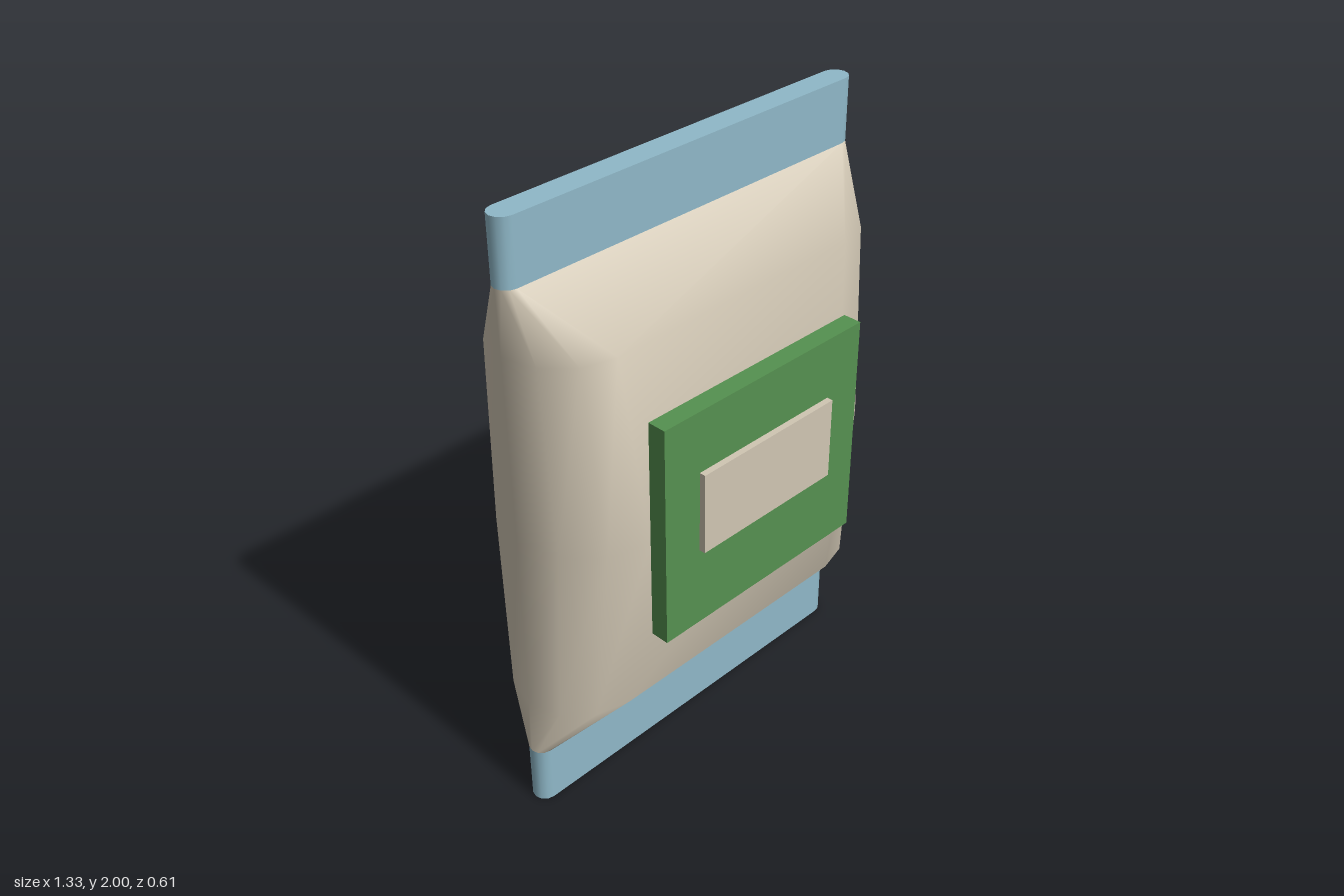
import * as THREE from 'three';

const MID_Z = -0.04; // depth of the pouch's centre plane
const QUARTER = 3; // segments per rounded quarter

// Stadium-shaped ring: flat front and back joined by half-round sides
function ring({ y, halfWidth, halfDepth, centre }) {
  const c = centre ?? halfWidth - halfDepth;
  const points = [];
  for (const side of [1, -1]) {
    for (let k = 0; k <= QUARTER * 2; k++) {
      const a = (k / (QUARTER * 2)) * Math.PI;
      points.push([
        side * (c + (halfWidth - c) * Math.sin(a)),
        y,
        MID_Z + side * halfDepth * Math.cos(a),
      ]);
    }
  }
  return points;
}

// Skin a stack of rings, with flat end caps if wanted
function loft(sections, capped) {
  const rings = sections.map(ring);
  const n = rings[0].length;
  const pos = rings.flat(2);
  const index = [];
  for (let i = 0; i < rings.length - 1; i++) {
    for (let j = 0; j < n; j++) {
      const a = i * n + j, b = i * n + ((j + 1) % n);
      index.push(a, b, b + n, a, b + n, a + n);
    }
  }
  if (capped) {
    for (const [points, up] of [[rings[0], false], [rings[rings.length - 1], true]]) {
      const s = pos.length / 3;
      pos.push(...points.flat());
      for (let j = 1; j < n - 1; j++) {
        if (up) index.push(s, s + j, s + j + 1);
        else index.push(s, s + j + 1, s + j);
      }
    }
  }
  const geo = new THREE.BufferGeometry();
  geo.setAttribute('position', new THREE.Float32BufferAttribute(pos, 3));
  geo.setIndex(index);
  geo.computeVertexNormals();
  return geo;
}

function material(name, color) {
  const m = new THREE.MeshStandardMaterial({ color });
  m.name = name;
  return m;
}

export function createModel() {
  const group = new THREE.Group();
  group.name = 'pouch';
  const cream = material('cream', 0xd0c6b3);
  const blue = material('blue', 0x8fb8c8);
  const green = material('green', 0x559150);

  const add = (name, geo, mat) => {
    const mesh = new THREE.Mesh(geo, mat);
    mesh.name = name;
    group.add(mesh);
    return mesh;
  };

  // Puffed body
  add('body', loft([
    { y: 0.2, halfWidth: 0.665, halfDepth: 0.04 },
    { y: 0.4, halfWidth: 0.662, halfDepth: 0.212 },
    { y: 1.0, halfWidth: 0.658, halfDepth: 0.265, centre: 0.4 },
    { y: 1.6, halfWidth: 0.662, halfDepth: 0.212 },
    { y: 1.8, halfWidth: 0.665, halfDepth: 0.04 },
  ], false), cream);

  // Flat seals at both ends
  for (const [name, y] of [['bottomSeal', 0], ['topSeal', 1.8]]) {
    add(name, loft([
      { y, halfWidth: 0.665, halfDepth: 0.04 },
      { y: y + 0.2, halfWidth: 0.665, halfDepth: 0.04 },
    ], true), blue);
  }

  // Label board and the small panel on it
  add('label', new THREE.BoxGeometry(0.8, 0.73, 0.06), green).position.set(0, 1.035, 0.255);
  add('labelPanel', new THREE.BoxGeometry(0.534, 0.267, 0.02), cream).position.set(0, 1.067, 0.295);

  return group;
}
